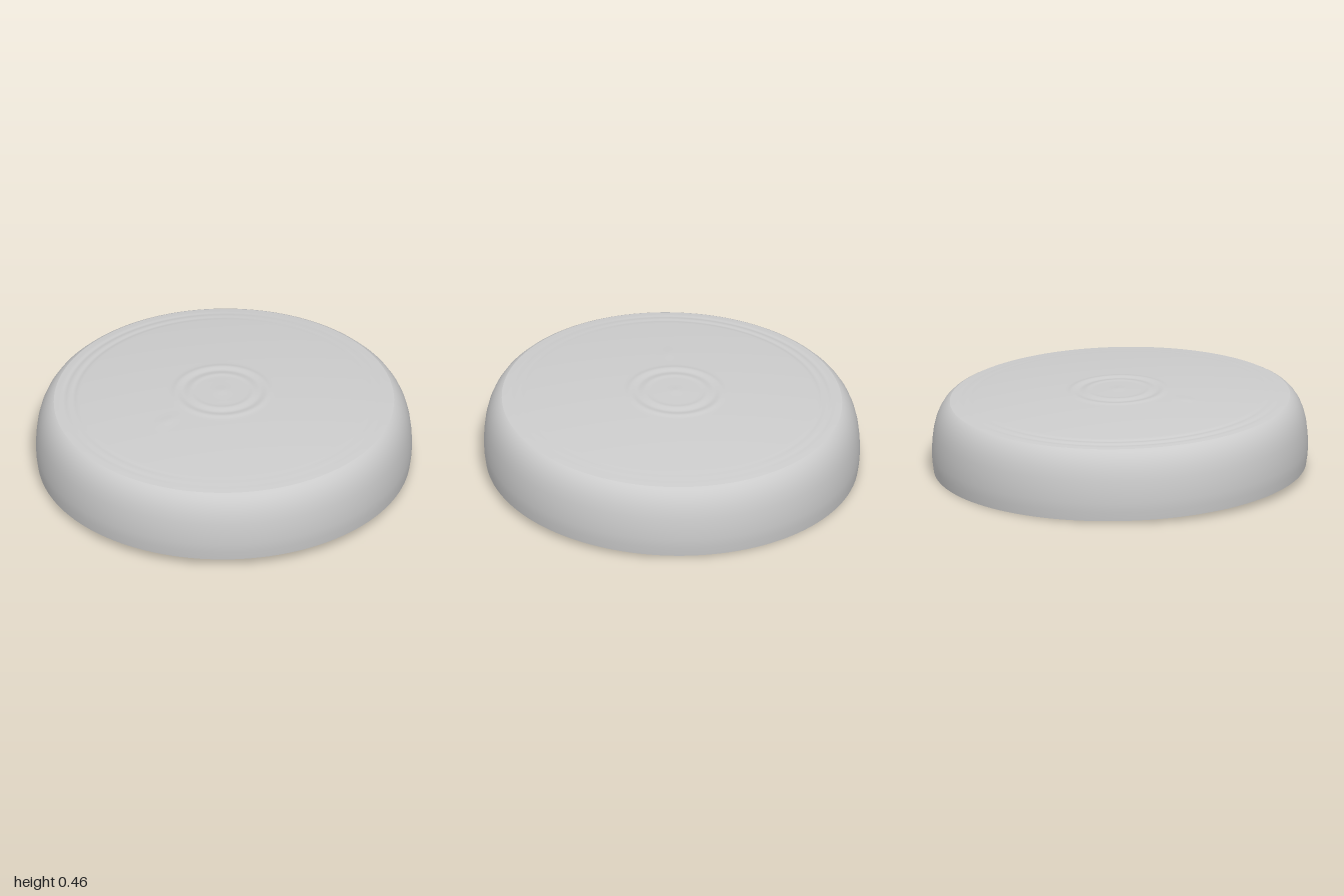
import * as THREE from 'three';
import { mergeVertices } from 'three/addons/utils/BufferGeometryUtils.js';

const SEGMENTS = 128;
const bump = (d, width) => Math.exp(-((d / width) ** 2));

// Low relief pressed into the top face
function relief(x, z) {
  const c = Math.hypot(x, z + 0.02);
  const r = Math.hypot(x, z);
  // the outer rings fade out away from the back-left arc
  const fade = 0.15 + 0.85 * Math.max(0, (-0.6 * x - 0.8 * z) / (r || 1));
  return 0.004 * bump(c - 0.245, 0.018) - 0.003 * bump(c - 0.205, 0.015)
    + 0.003 * bump(c - 0.165, 0.015) + 0.003 * bump(c, 0.04)
    - 0.004 * fade * (bump(r - 0.8, 0.012) + bump(r - 0.85, 0.012))
    + 0.003 * bump(Math.hypot((x + 0.4) / 2, z - 0.03), 0.03);
}

// Lathe a profile, leaning it slightly forwards and sideways
function turned(name, points, material, offset = () => 0) {
  const geometry = new THREE.LatheGeometry(points.map(([r, y]) => new THREE.Vector2(r, y)), SEGMENTS);
  const p = geometry.attributes.position;
  for (let i = 0; i < p.count; i++) {
    const x = p.getX(i), z = p.getZ(i);
    p.setY(i, p.getY(i) + 0.023 * z - 0.01 * x + offset(x, z));
  }
  // weld the seam so shading is continuous
  geometry.deleteAttribute('uv');
  geometry.deleteAttribute('normal');
  const welded = mergeVertices(geometry, 1e-5);
  welded.computeVertexNormals();
  const mesh = new THREE.Mesh(welded, material);
  mesh.name = name;
  return mesh;
}

export function createModel() {
  const group = new THREE.Group();
  group.name = 'lid';
  const grey = new THREE.MeshStandardMaterial({ color: 0xcccccc, side: THREE.DoubleSide });

  // Rounded outer wall and domed top, meeting at a soft shoulder
  const wall = [[0.99, 0.03], [0.997, 0.08], [1, 0.13], [0.997, 0.19], [0.99, 0.25], [0.978, 0.3],
    [0.962, 0.34], [0.942, 0.372], [0.92, 0.394], [0.905, 0.402]];
  const top = [];
  for (let i = 0; i <= 110; i++) {
    const r = 0.905 * (1 - i / 110);
    top.push([r, 0.458 - 0.056 * (r / 0.905) ** 2]);
  }
  group.add(turned('outerWall', wall, grey));
  group.add(turned('top', top, grey, relief));

  // Flat rim around the open underside
  group.add(turned('rim', [[0.952, 0.03], [0.99, 0.03]], grey));

  // Hollow inside: ceiling, fillet and inner wall
  const inside = [[0, 0.4], [0.3, 0.394], [0.6, 0.378], [0.8, 0.36], [0.86, 0.347], [0.895, 0.325],
    [0.92, 0.29], [0.94, 0.24], [0.952, 0.17], [0.956, 0.1], [0.952, 0.03]];
  group.add(turned('inside', inside, grey));

  return group;
}
